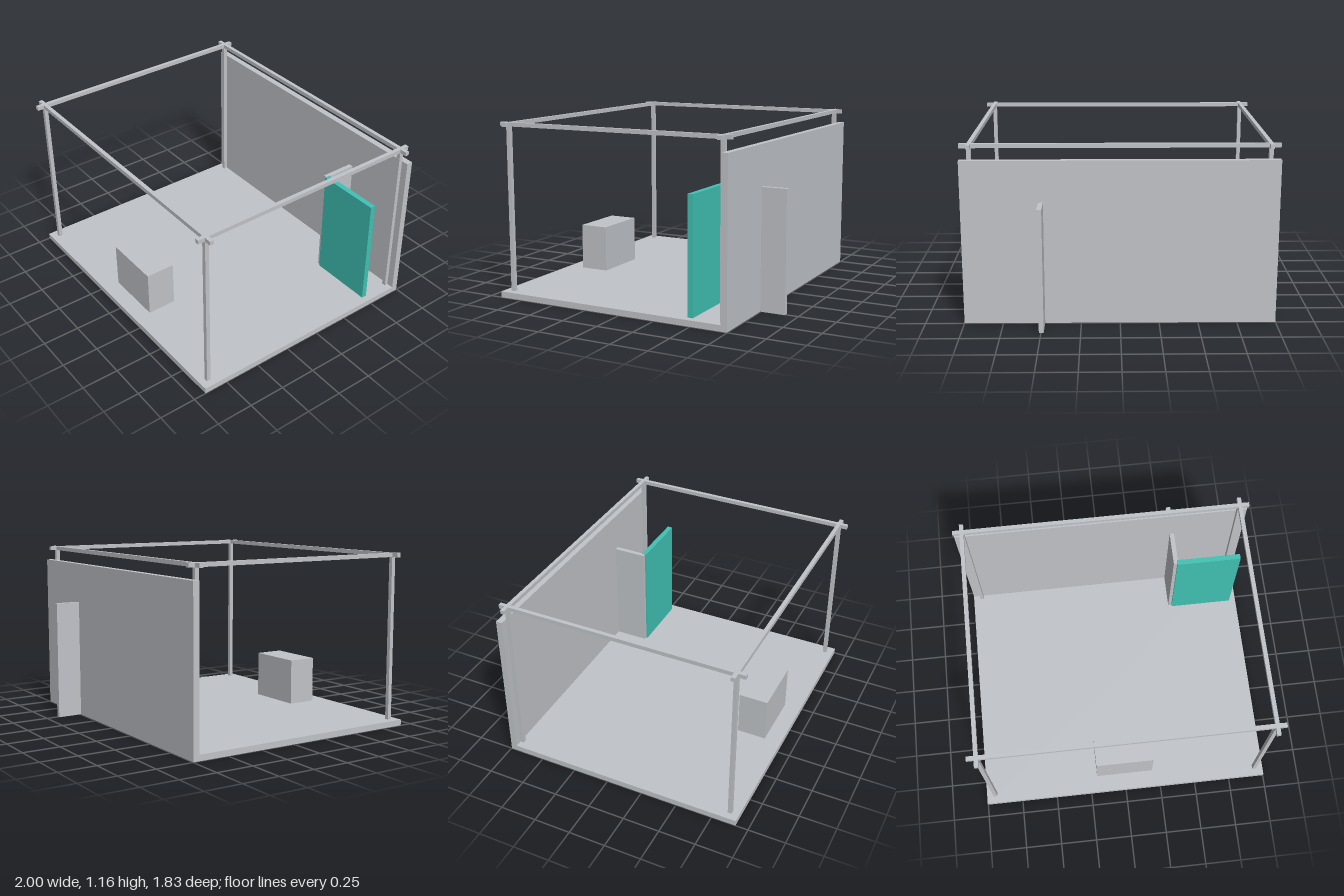
import * as THREE from 'three';

const grey = new THREE.MeshStandardMaterial({ name: 'grey', color: 0xc0c3c8 });
const teal = new THREE.MeshStandardMaterial({ name: 'teal', color: 0x40c1b3 });

// Box given by its minimum and maximum along each axis
function block(name, material, [x0, x1], [y0, y1], [z0, z1]) {
  const mesh = new THREE.Mesh(new THREE.BoxGeometry(x1 - x0, y1 - y0, z1 - z0), material);
  mesh.name = name;
  mesh.position.set((x0 + x1) / 2, (y0 + y1) / 2, (z0 + z1) / 2);
  return mesh;
}

export function createModel() {
  const model = new THREE.Group();
  model.name = 'exhibitionBooth';

  const front = 0.915, back = -0.747, floorTop = 0.04;
  const beamY = [1.138, 1.165];
  const around = (c) => [c - 0.0135, c + 0.0135];

  // Floor, rear wall and counter
  model.add(
    block('floor', grey, [-1, 1], [0, floorTop], [back, front]),
    block('backWall', grey, [-1, 1], [floorTop, 1.067], [back, -0.704]),
    block('counter', grey, [-0.2, 0.2], [floorTop, 0.357], [0.6, 0.8])
  );

  // Partition passing through the rear wall, and the teal panel beside it
  model.add(
    block('partition', grey, [0.482, 0.513], [0.001, 0.8], [-0.915, -0.47]),
    block('tealPanel', teal, [0.506, 0.952], [0.001, 0.801], [-0.496, -0.459])
  );

  // Open frame: four posts, two cross beams and two side beams
  const frame = new THREE.Group();
  frame.name = 'frame';
  const postX = 0.939, postZ = [0.854, -0.691];
  for (const z of postZ) {
    frame.add(block('crossBeam', grey, [-1, 1], beamY, around(z)));
    for (const side of [-1, 1]) {
      frame.add(block('post', grey, around(side * postX), [floorTop, beamY[0]], around(z)));
    }
  }
  for (const side of [-1, 1]) {
    frame.add(block('sideBeam', grey, around(side * postX), beamY, [back, front]));
  }
  model.add(frame);

  return model;
}
